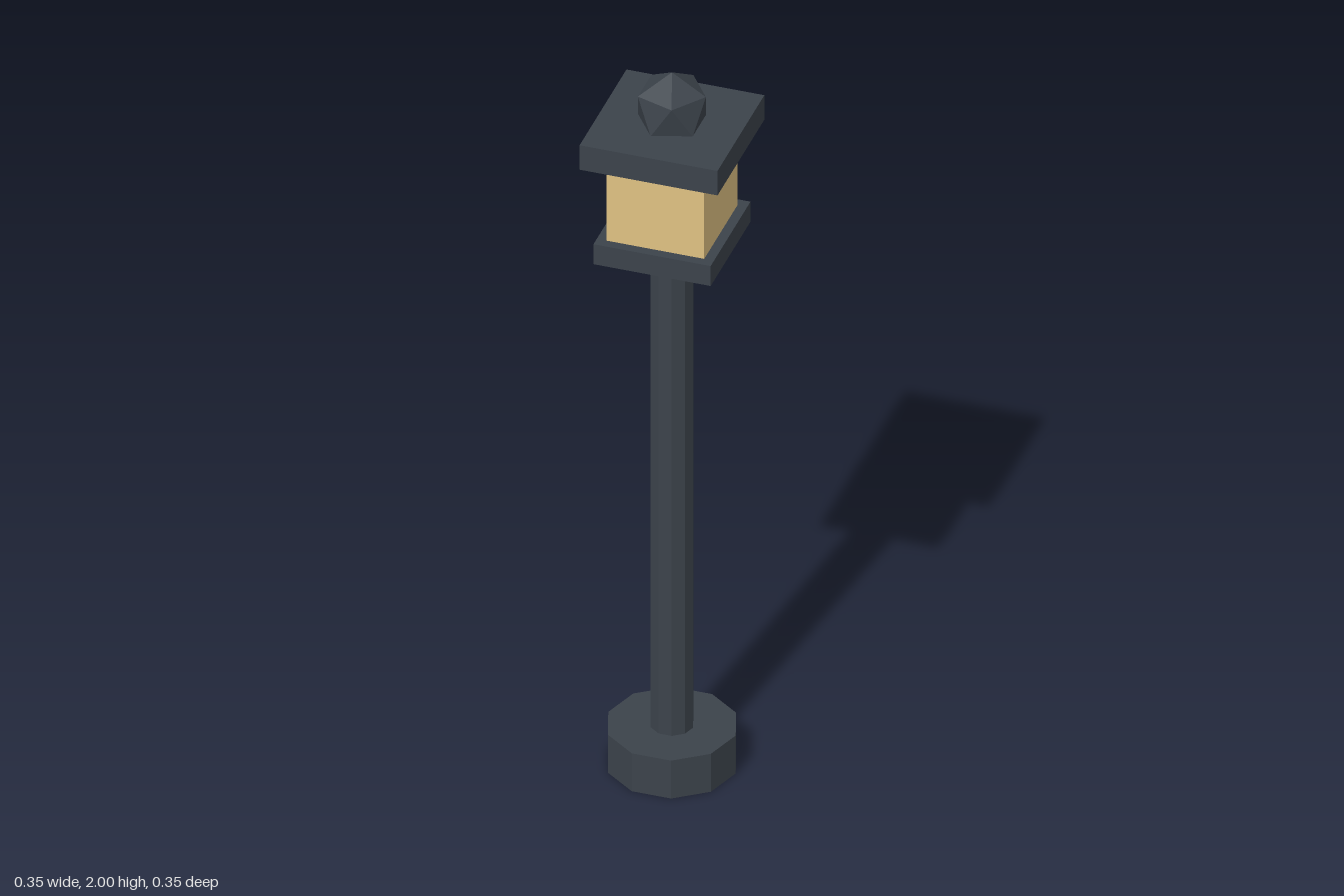
import * as THREE from 'three';

export function createModel() {
  const model = new THREE.Group();
  const iron = new THREE.MeshStandardMaterial({ color: 0x3c434b, flatShading: true });
  const glass = new THREE.MeshStandardMaterial({ color: 0xe0c283, flatShading: true });

  function add(name, geometry, y, material = iron) {
    const mesh = new THREE.Mesh(geometry, material);
    mesh.name = name;
    mesh.position.y = y;
    model.add(mesh);
  }

  // Ten-sided upright with corners on the x axis
  function column(name, radius, bottom, top) {
    const geometry = new THREE.CylinderGeometry(radius, radius, top - bottom, 10);
    add(name, geometry.rotateY(Math.PI / 2), (bottom + top) / 2);
  }

  // Square block between two heights
  function block(name, width, bottom, top, material) {
    add(name, new THREE.BoxGeometry(width, top - bottom, width), (bottom + top) / 2, material);
  }

  column('base', 0.163, 0, 0.11);
  column('post', 0.054, 0.11, 1.505);
  block('lanternTray', 0.3, 1.505, 1.563, iron);
  block('lanternGlass', 0.25, 1.563, 1.79, glass);
  block('roof', 0.353, 1.79, 1.861, iron);

  // Faceted knob standing on one corner, its lower tip sunk into the roof
  const knob = new THREE.IcosahedronGeometry(0.097, 0);
  knob.rotateZ(-Math.atan(2 / (1 + Math.sqrt(5))));
  add('finial', knob, 1.903);

  return model;
}
